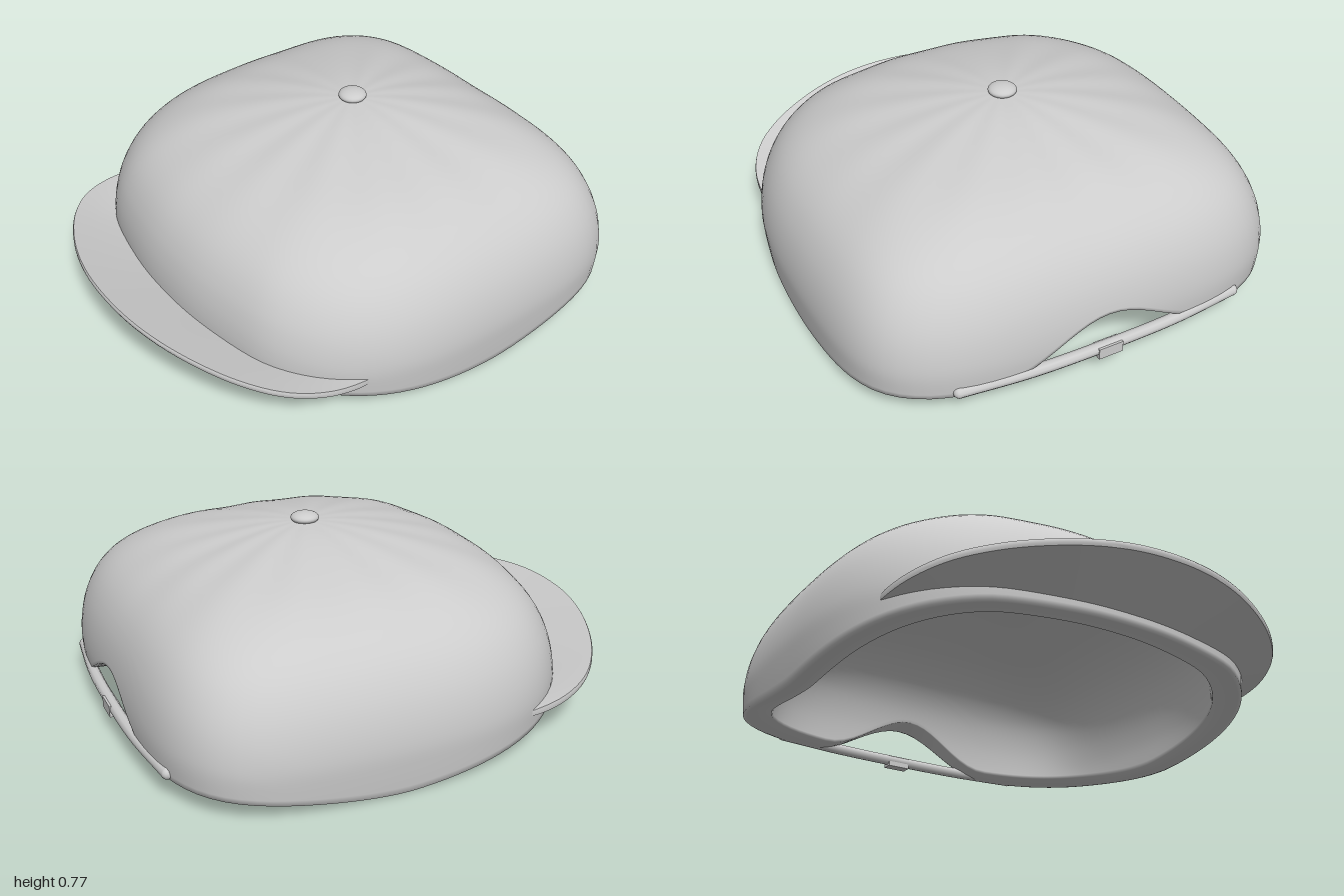
import * as THREE from 'three';
import { toCreasedNormals } from 'three/addons/utils/BufferGeometryUtils.js';

const V = (x, y, z) => new THREE.Vector3(x, y, z);
const { lerp, smoothstep } = THREE.MathUtils;
const CENTRE_Z = -0.16;

// Surface through rows of points, optionally closed around
function loft(rows, wrap) {
  const n = rows[0].length, index = [];
  for (let j = 0; j < rows.length - 1; j++) {
    for (let i = 0; i < (wrap ? n : n - 1); i++) {
      const a = j * n + i, b = j * n + (i + 1) % n;
      index.push(a, b, a + n, b, b + n, a + n);
    }
  }
  const geo = new THREE.BufferGeometry().setFromPoints(rows.flat());
  geo.setIndex(index);
  geo.computeVertexNormals();
  return geo;
}

// Rounded-square plan of the crown, squarer at the back, rounder towards the top (s = 0)
function planRadius(angle, s = 1) {
  const c = Math.abs(Math.cos(angle)), k = Math.sin(angle);
  const rim = 2.75 + 1.25 * smoothstep(-k, 0, 0.65) - 0.4 * smoothstep(k, 0.82, 1);
  const n = lerp(2.2, rim, smoothstep(s, 0, 0.9));
  return ((c / 0.915) ** n + (Math.abs(k) / (k > 0 ? 0.91 : 0.82)) ** n) ** (-1 / n);
}

// Height of the lower edge: dips at the sides, arches over the strap
function rimHeight(x, z) {
  const d = z + 0.15;
  if (d > 0) return 0.12 * (d / 0.9) ** 1.3;
  const arch = Math.abs(x) < 0.46 && d < -0.5 ? 0.165 * Math.cos(Math.PI * x / 0.92) ** 2 : 0;
  return 0.08 * smoothstep(-d, 0, 0.8) + arch;
}

// Rings of points from the top of a dome profile down to the lower edge
function domeRows(profile, pleat) {
  const samples = new THREE.CatmullRomCurve3(profile.map(([s, h]) => V(s, h, 0))).getPoints(36);
  const count = 120, bend = 0.42;
  const radiusAt = y => {
    const i = Math.max(1, samples.findIndex(p => p.y <= y));
    const a = samples[i - 1], b = samples[i];
    return lerp(a.x, b.x, (a.y - y) / (a.y - b.y));
  };
  return samples.map(({ x: s, y: h }) => Array.from({ length: count }, (_, i) => {
    const angle = i / count * Math.PI * 2;
    const edge = planRadius(angle);
    const rim = rimHeight(Math.cos(angle) * edge, CENTRE_Z + Math.sin(angle) * edge);
    // Below the bend the rings are spread down to the lower edge
    const y = h < bend ? lerp(rim, bend, h / bend) : h;
    const radius = h < bend ? radiusAt(y) : s;
    const r = planRadius(angle, radius) * radius;
    const fold = pleat * Math.cos(angle * 14) * Math.sin(Math.PI * Math.min(1, s)) ** 2;
    return V(Math.cos(angle) * r, y + fold, CENTRE_Z + Math.sin(angle) * r);
  }));
}

// Crown: outer skin, rolled rim and lining as one surface
function crownGeometry() {
  const skin = domeRows([
    [0.001, 0.73], [0.2, 0.716], [0.45, 0.672], [0.65, 0.617], [0.8, 0.542], [0.89, 0.465],
    [0.95, 0.375], [0.985, 0.28], [1, 0.18], [0.995, 0.09], [0.985, 0],
  ], 0.0025);
  const lining = domeRows([
    [0.001, 0.655], [0.3, 0.617], [0.5, 0.565], [0.64, 0.51], [0.75, 0.43], [0.82, 0.34],
    [0.86, 0.24], [0.88, 0.12], [0.88, 0],
  ], 0).reverse();
  const hem = (scale, lift) => skin[skin.length - 1].map(p =>
    V(p.x * scale, p.y + lift, CENTRE_Z + (p.z - CENTRE_Z) * scale));
  lining[0].forEach(p => { p.y += 0.008; });
  return loft([...skin, hem(0.985, -0.004), hem(0.94, 0), ...lining], true);
}

// Brim: thin curved plate rising towards the front
function brimGeometry() {
  const right = [[0.805, 0.33], [0.82, 0.41], [0.8, 0.56], [0.73, 0.7], [0.6, 0.82], [0.4, 0.925], [0.2, 0.983]];
  const left = right.map(([x, z]) => [-x, z]).reverse();
  const edge = new THREE.CatmullRomCurve3([...right, [0, 1], ...left].map(([x, z]) => V(x, 0, z))).getPoints(72);
  const layer = ([v, side]) => edge.map((p, i) => {
    const angle = Math.atan2(p.z - CENTRE_Z, p.x);
    const r = planRadius(angle) * 0.95;
    const across = Math.sin(Math.PI * i / (edge.length - 1));
    const t = (p.z - 0.4) / 0.6;
    const y = lerp(0.141 + 0.008 * across, 0.143 + 0.05 * t + 0.08 * t * t, v);
    const half = 0.013 * Math.min(1, across * 4);
    return V(lerp(Math.cos(angle) * r, p.x, v), y + side * half, lerp(CENTRE_Z + Math.sin(angle) * r, p.z, v));
  });
  const rows = [[0, 1], [0.35, 1], [0.7, 1], [0.985, 1], [1, 0.4], [1, -0.4], [0.985, -1], [0.7, -1], [0.35, -1], [0, -1]];
  return toCreasedNormals(loft(rows.map(layer), false), 0.7);
}

export function createModel() {
  const model = new THREE.Group();
  model.name = 'cap';
  const fabric = new THREE.MeshStandardMaterial({ color: 0xcccccc });
  fabric.name = 'light grey fabric';
  const add = (name, geo, parent = model) => {
    const mesh = new THREE.Mesh(geo, fabric);
    mesh.name = name;
    parent.add(mesh);
    return mesh;
  };

  add('crown', crownGeometry());
  add('brim', brimGeometry());

  // Button on top
  const button = add('button', new THREE.SphereGeometry(0.056, 28, 16));
  button.scale.y = 0.42;
  button.position.set(0, 0.738, CENTRE_Z);

  // Adjustable strap across the back opening
  const strap = new THREE.Group();
  strap.name = 'backStrap';
  model.add(strap);
  const path = new THREE.CatmullRomCurve3([
    V(-0.58, 0.1, -0.938), V(-0.3, 0.1, -0.968), V(0, 0.1, -0.975), V(0.3, 0.1, -0.968), V(0.58, 0.1, -0.938),
  ]);
  add('strapBand', new THREE.TubeGeometry(path, 32, 0.023, 10), strap);
  for (const x of [-0.58, 0.58]) {
    add('strapEnd', new THREE.SphereGeometry(0.023, 12, 8), strap).position.set(x, 0.1, -0.938);
  }
  add('buckle', new THREE.BoxGeometry(0.1, 0.046, 0.045), strap).position.set(0, 0.092, -0.9775);

  return model;
}
